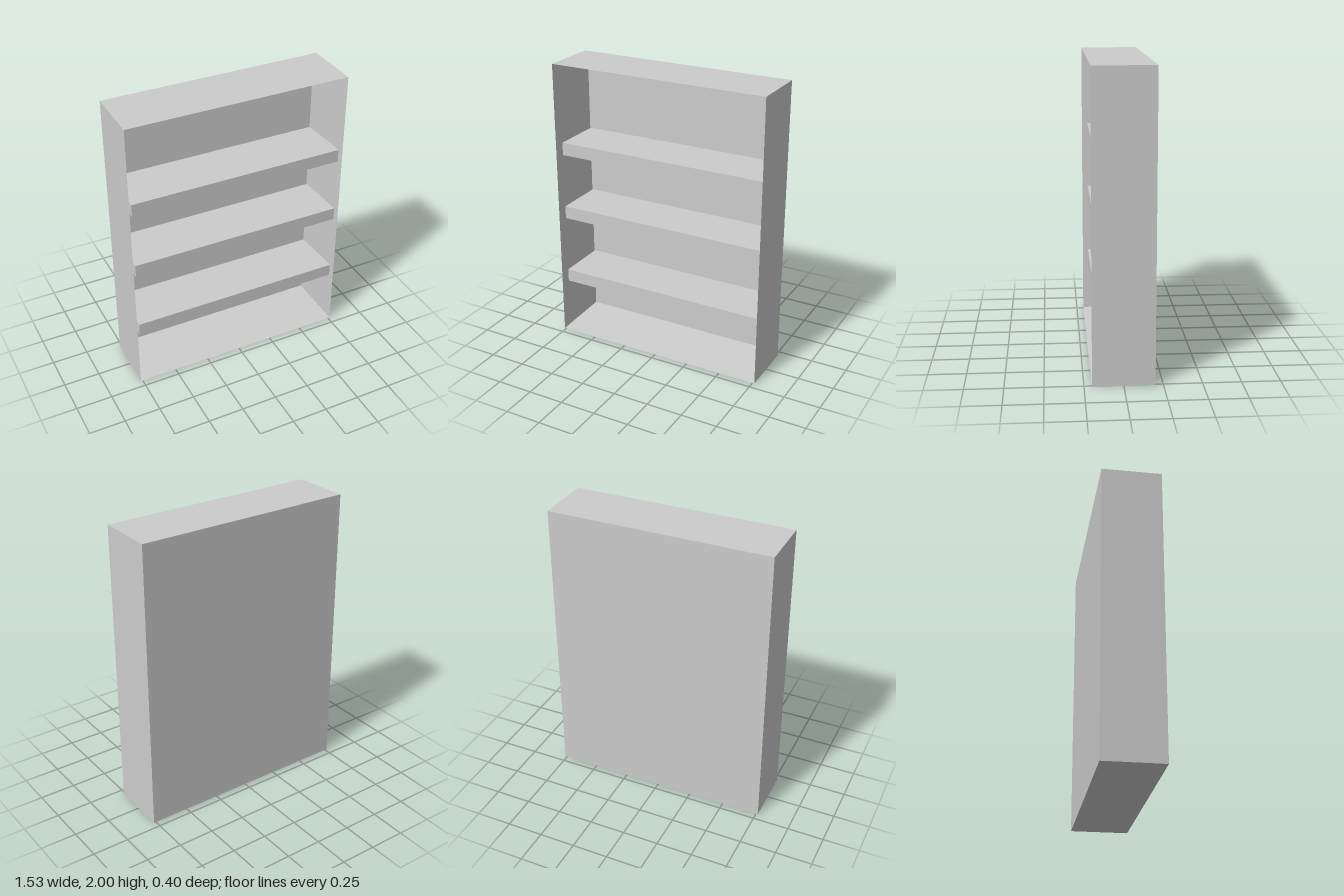
import * as THREE from 'three';

// Four corners of an upright rectangle, anticlockwise seen from the front
const ring = (x, y0, y1, z) => [[-x, y0, z], [x, y0, z], [x, y1, z], [-x, y1, z]];

// Flat-shaded surface through a series of rings, closed at both ends
function loftRings(rings) {
  const pos = [];
  const quad = (a, b, c, d) => pos.push(...a, ...b, ...c, ...a, ...c, ...d);
  quad(...[...rings[0]].reverse());
  for (let r = 0; r < rings.length - 1; r++) {
    for (let i = 0; i < 4; i++) {
      const j = (i + 1) % 4;
      quad(rings[r][i], rings[r][j], rings[r + 1][j], rings[r + 1][i]);
    }
  }
  quad(...rings[rings.length - 1]);
  const geo = new THREE.BufferGeometry();
  geo.setAttribute('position', new THREE.Float32BufferAttribute(pos, 3));
  geo.computeVertexNormals();
  return geo;
}

export function createModel() {
  const group = new THREE.Group();
  group.name = 'bookcase';
  const grey = new THREE.MeshStandardMaterial({ color: 0xcccccc });
  grey.name = 'light grey';

  // Case: outer back, knife-edge front rim, then inward to the recessed back panel
  const shell = new THREE.Mesh(loftRings([
    ring(0.764, 0, 2, -0.2),
    ring(0.764, 0, 2, 0.2),
    ring(0.741, 0.034, 1.967, -0.195),
  ]), grey);
  shell.name = 'case';
  group.add(shell);

  // Shelves, set slightly back from the rim
  const back = -0.195, front = 0.163;
  [0.431, 0.927, 1.4].forEach((y, i) => {
    const shelf = new THREE.Mesh(new THREE.BoxGeometry(1.492, 0.09, front - back), grey);
    shelf.position.set(0.01, y, (front + back) / 2);
    shelf.name = `shelf${i + 1}`;
    group.add(shelf);
  });

  return group;
}
